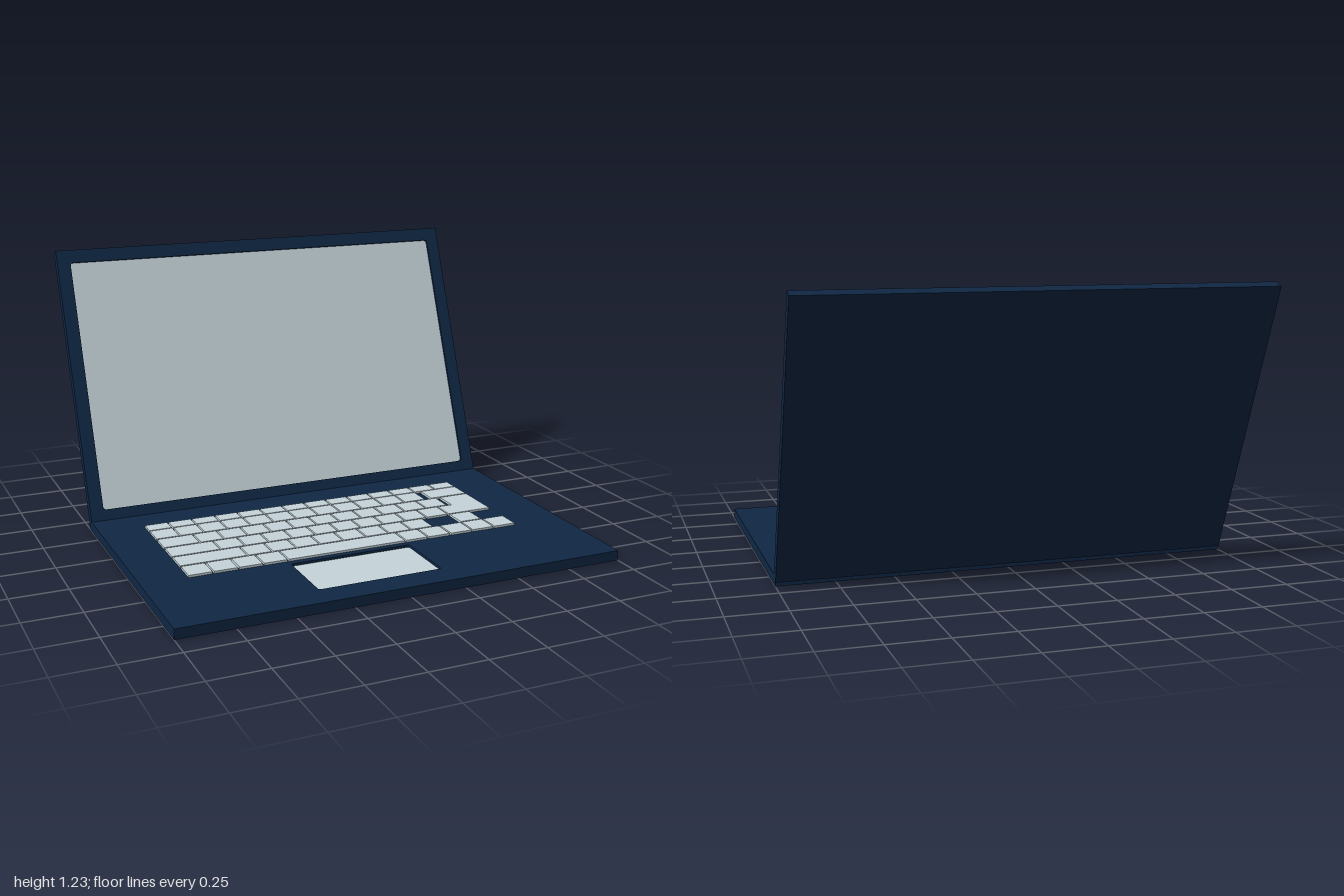
import * as THREE from 'three';

const navy = new THREE.MeshStandardMaterial({ color: 0x0f2744 });
navy.name = 'navy casing';
const pale = new THREE.MeshStandardMaterial({ color: 0xc6d5db });
pale.name = 'pale grey';

const WIDTH = 2, LENGTH = 1.285, THICK = 0.045, RECESS = 0.012;

function mesh(name, geometry, material, x = 0, y = 0, z = 0) {
  const m = new THREE.Mesh(geometry, material);
  m.name = name;
  m.position.set(x, y, z);
  return m;
}

// Rounded rectangle between two corners, as a path or shape
function roundedRect(path, x0, y0, x1, y1, r) {
  path.moveTo(x0 + r, y0);
  path.lineTo(x1 - r, y0);
  path.absarc(x1 - r, y0 + r, r, -Math.PI / 2, 0);
  path.lineTo(x1, y1 - r);
  path.absarc(x1 - r, y1 - r, r, 0, Math.PI / 2);
  path.lineTo(x0 + r, y1);
  path.absarc(x0 + r, y1 - r, r, Math.PI / 2, Math.PI);
  path.lineTo(x0, y0 + r);
  path.absarc(x0 + r, y0 + r, r, Math.PI, Math.PI * 1.5);
  return path;
}

// Casing half, face at z = 0, with one sunken pale panel
function casing(name, insetName, x0, y0, x1, y1, r) {
  const group = new THREE.Group();
  group.name = name;
  const back = THICK - RECESS;
  group.add(mesh(name + 'Body', new THREE.BoxGeometry(WIDTH, LENGTH, back), navy,
    0, LENGTH / 2, -RECESS - back / 2));

  const frame = new THREE.Shape([
    new THREE.Vector2(-WIDTH / 2, 0), new THREE.Vector2(WIDTH / 2, 0),
    new THREE.Vector2(WIDTH / 2, LENGTH), new THREE.Vector2(-WIDTH / 2, LENGTH),
  ]);
  frame.holes.push(roundedRect(new THREE.Path(), x0, y0, x1, y1, r));
  group.add(mesh(name + 'Frame', new THREE.ExtrudeGeometry(frame,
    { depth: RECESS, bevelEnabled: false, curveSegments: 5 }), navy, 0, 0, -RECESS));

  const inset = roundedRect(new THREE.Shape(), x0, y0, x1, y1, r);
  group.add(mesh(insetName, new THREE.ShapeGeometry(inset, 5), pale, 0, 0, -RECESS + 0.001));
  return group;
}

// Keyboard: each row is a list of [start, width] in key units
function keyboard() {
  const group = new THREE.Group();
  group.name = 'keyboard';
  const UNIT = 0.1113, GAP = 0.008, HEIGHT = 0.01, LEFT = -0.8;
  const run = (start, count) => Array.from({ length: count }, (_, i) => [start + i, 1]);
  const rows = [
    { z0: -0.205, z1: -0.133, keys: run(0, 14) },
    { keys: [...run(0, 12), [12.25, 1.75]] },
    { keys: [[0, 1.5], ...run(1.5, 11)] },
    { keys: [[0, 2], ...run(2, 10)] },
    { keys: [[0, 2.75], ...run(2.75, 8), [12, 1]] },
    { keys: [...run(0, 4), [4, 5], ...run(9, 5)] },
  ];
  const rowStart = i => -0.126 + (i - 1) * 0.1135;
  const rowEnd = i => rowStart(i) + 0.1055;
  const edge = u => LEFT + u * UNIT;

  rows.forEach(({ z0, z1, keys }, i) => {
    const a = z0 ?? rowStart(i), b = z1 ?? rowEnd(i);
    for (const [start, width] of keys) {
      group.add(mesh('key', new THREE.BoxGeometry(width * UNIT - GAP, HEIGHT, b - a), pale,
        edge(start + width / 2), THICK + HEIGHT / 2, (a + b) / 2));
    }
  });

  // L-shaped enter key over two rows
  const l = edge(12) + GAP / 2, m = edge(12.65) + GAP / 2, r = edge(14) - GAP / 2;
  const enter = new THREE.Shape([
    [l, -rowEnd(3)], [r, -rowEnd(3)], [r, -rowStart(2)],
    [m, -rowStart(2)], [m, -rowStart(3)], [l, -rowStart(3)],
  ].map(([x, y]) => new THREE.Vector2(x, y)));
  const enterKey = mesh('enterKey', new THREE.ExtrudeGeometry(enter,
    { depth: HEIGHT, bevelEnabled: false }), pale, 0, THICK, 0);
  enterKey.rotation.x = -Math.PI / 2;
  group.add(enterKey);
  return group;
}

export function createModel() {
  const model = new THREE.Group();
  model.name = 'laptop';

  // Base lying flat, with the trackpad
  const base = casing('base', 'trackpad', -0.355, 0.126, 0.203, 0.422, 0.012);
  base.rotation.x = -Math.PI / 2;
  base.position.set(0, THICK, 0.885);

  // Lid leaning back, with the screen
  const lid = casing('lid', 'screen', -0.938, 0.061, 0.938, 1.224, 0.015);
  lid.rotation.x = -0.379;
  lid.position.set(0, 0.034, -0.365);

  model.add(base, lid, keyboard());
  return model;
}
